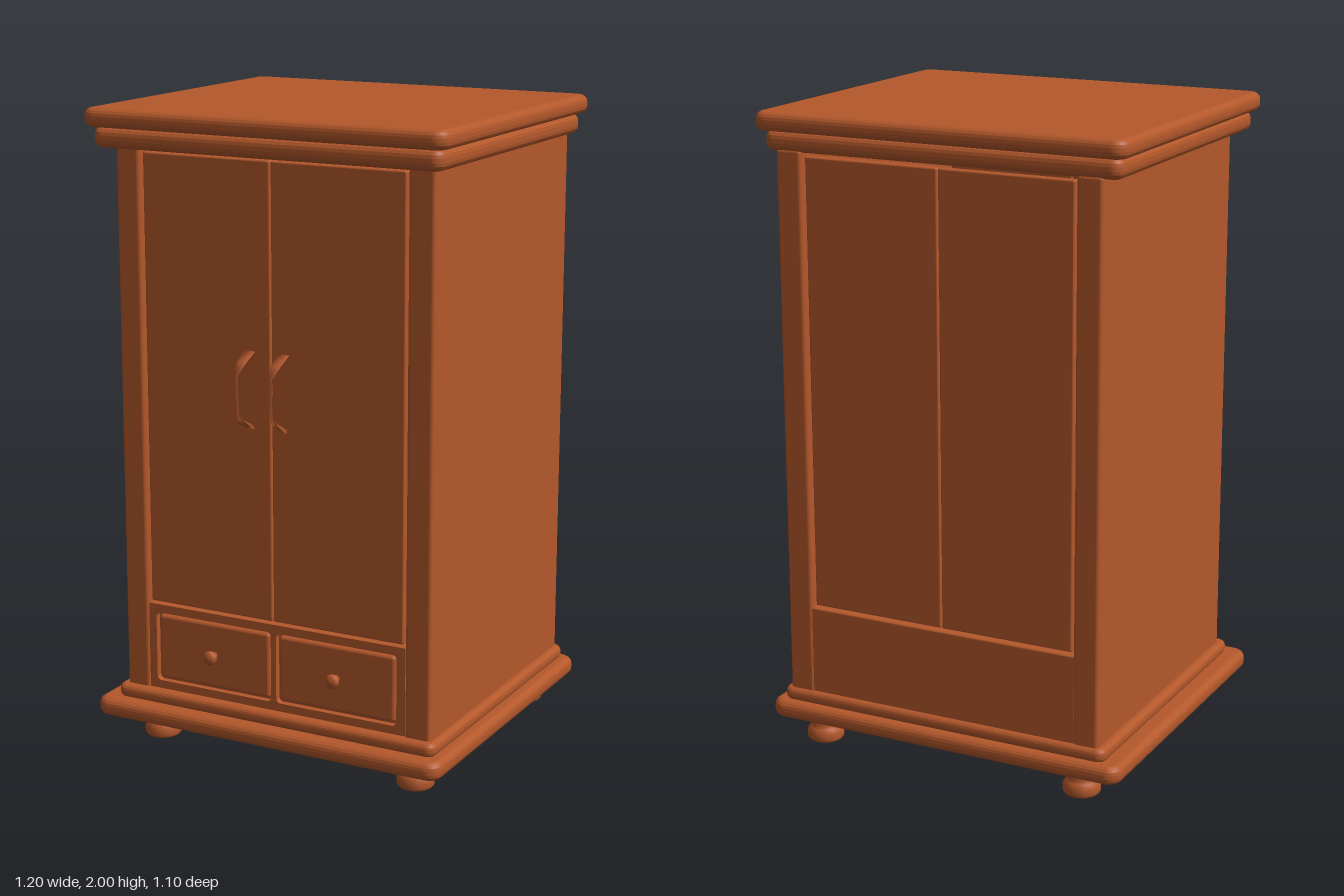
import * as THREE from 'three';
import { RoundedBoxGeometry } from 'three/addons/geometries/RoundedBoxGeometry.js';

const wood = new THREE.MeshStandardMaterial({ color: 0xb4582b });
const woodThin = new THREE.MeshStandardMaterial({ color: 0xb4582b, side: THREE.DoubleSide });

function add(group, name, geometry, material = wood) {
  const mesh = new THREE.Mesh(geometry, material);
  mesh.name = name;
  group.add(mesh);
  return mesh;
}

// Rounded box given by its extents
function block(group, name, [x0, x1], [y0, y1], [z0, z1], radius = 0.006) {
  const geo = new RoundedBoxGeometry(x1 - x0, y1 - y0, z1 - z0, 2, radius);
  const mesh = add(group, name, geo);
  mesh.position.set((x0 + x1) / 2, (y0 + y1) / 2, (z0 + z1) / 2);
  return mesh;
}

// Rectangle with rounded corners, as a shape or a hole
function roundedRect(path, x0, y0, x1, y1, r) {
  path.moveTo(x0 + r, y0);
  path.lineTo(x1 - r, y0);
  path.absarc(x1 - r, y0 + r, r, -Math.PI / 2, 0);
  path.lineTo(x1, y1 - r);
  path.absarc(x1 - r, y1 - r, r, 0, Math.PI / 2);
  path.lineTo(x0 + r, y1);
  path.absarc(x0 + r, y1 - r, r, Math.PI / 2, Math.PI);
  path.lineTo(x0, y0 + r);
  path.absarc(x0 + r, y0 + r, r, Math.PI, Math.PI * 1.5);
  return path;
}

// Horizontal moulding slab with rounded corners and a rounded edge
function slab(group, name, [x0, x1], [y0, y1], [z0, z1], corner) {
  const b = (y1 - y0) * 0.4;
  const shape = roundedRect(new THREE.Shape(), x0 + b, -z1 + b, x1 - b, -z0 - b, corner - b);
  const geo = new THREE.ExtrudeGeometry(shape, {
    depth: y1 - y0 - 2 * b, bevelSize: b, bevelThickness: b, bevelSegments: 4, curveSegments: 6,
  });
  geo.rotateX(-Math.PI / 2);
  add(group, name, geo).position.y = y0 + b;
}

export function createModel() {
  const model = new THREE.Group();
  model.name = 'wardrobe';

  // Top cornice and stepped base
  slab(model, 'topBoard', [-0.6, 0.6], [1.942, 2], [-0.555, 0.515], 0.045);
  slab(model, 'topMoulding', [-0.575, 0.58], [1.88, 1.944], [-0.525, 0.495], 0.035);
  slab(model, 'baseMoulding', [-0.545, 0.562], [0.138, 0.182], [-0.53, 0.472], 0.03);
  slab(model, 'baseBoard', [-0.6, 0.597], [0.083, 0.142], [-0.555, 0.518], 0.045);

  // Turned feet
  const footProfile = [[0, 0], [0.052, 0], [0.058, 0.008], [0.058, 0.03], [0.05, 0.042],
    [0.044, 0.05], [0.044, 0.068], [0.05, 0.09]].map(([r, y]) => new THREE.Vector2(r, y));
  for (const x of [-0.44, 0.457]) {
    for (const z of [-0.45, 0.367]) {
      add(model, 'foot', new THREE.LatheGeometry(footProfile, 20)).position.set(x, 0, z);
    }
  }

  // Side walls
  block(model, 'rightWall', [-0.52, -0.438], [0.17, 1.89], [-0.517, 0.445], 0.012);
  block(model, 'leftWall', [0.455, 0.54], [0.17, 1.89], [-0.517, 0.445], 0.012);

  // Doors in front and matching panels behind, with narrow gaps around them
  for (const [name, z] of [['door', [0.405, 0.437]], ['backPanel', [-0.508, -0.48]]]) {
    block(model, name, [-0.43, 0.003], [0.467, 1.871], z);
    block(model, name, [0.006, 0.446], [0.467, 1.871], z);
  }

  // Drawer case with a framed front
  block(model, 'drawerCase', [-0.445, 0.46], [0.17, 0.459], [-0.514, 0.42]);
  const frame = roundedRect(new THREE.Shape(), -0.438, 0.175, 0.455, 0.459, 0.004);
  const drawers = [[-0.412, -0.002, -0.205], [0.016, 0.426, 0.222]];
  for (const [x0, x1] of drawers) {
    frame.holes.push(roundedRect(new THREE.Path(), x0, 0.208, x1, 0.432, 0.014));
  }
  const frameGeo = new THREE.ExtrudeGeometry(frame, { depth: 0.022, bevelEnabled: false, curveSegments: 4 });
  add(model, 'drawerFrame', frameGeo).position.z = 0.418;

  // Drawer fronts with round knobs
  const knobProfile = [[0.012, 0], [0.01, 0.018], [0.022, 0.028], [0.022, 0.038], [0.014, 0.045], [0, 0.047]]
    .map(([r, y]) => new THREE.Vector2(r, y));
  for (const [x0, x1, knobX] of drawers) {
    block(model, 'drawerFront', [x0 + 0.007, x1 - 0.007], [0.215, 0.425], [0.4, 0.436], 0.012);
    const knob = add(model, 'drawerKnob', new THREE.LatheGeometry(knobProfile, 12));
    knob.rotation.x = Math.PI / 2;
    knob.position.set(knobX, 0.322, 0.43);
  }

  // Thin angular door handles: flat strips through [z, y, half width]
  const handlePath = [[0.465, 1.31, 0.018], [0.515, 1.285, 0.016], [0.548, 1.25, 0.004],
    [0.542, 1.12, 0.004], [0.515, 1.1, 0.018], [0.462, 1.072, 0.012]];
  for (const [x, narrow] of [[-0.05, 1], [0.065, 0.5]]) {
    const corners = [];
    const faces = [];
    handlePath.forEach(([z, y, w], i) => {
      const h = i > 2 ? w * narrow : w;
      const t = 0.009;
      corners.push(x - h, y, z, x + h, y, z, x, y - (i < 3 ? t : -t), z - t);
      if (i === 0) return;
      const a = (i - 1) * 3;
      for (let k = 0; k < 3; k++) {
        const n = (k + 1) % 3;
        faces.push(a + k, a + 3 + k, a + n, a + n, a + 3 + k, a + 3 + n);
      }
    });
    const geo = new THREE.BufferGeometry();
    geo.setAttribute('position', new THREE.Float32BufferAttribute(corners, 3));
    geo.setIndex(faces);
    geo.computeVertexNormals();
    add(model, 'doorHandle', geo, woodThin);
  }

  return model;
}
